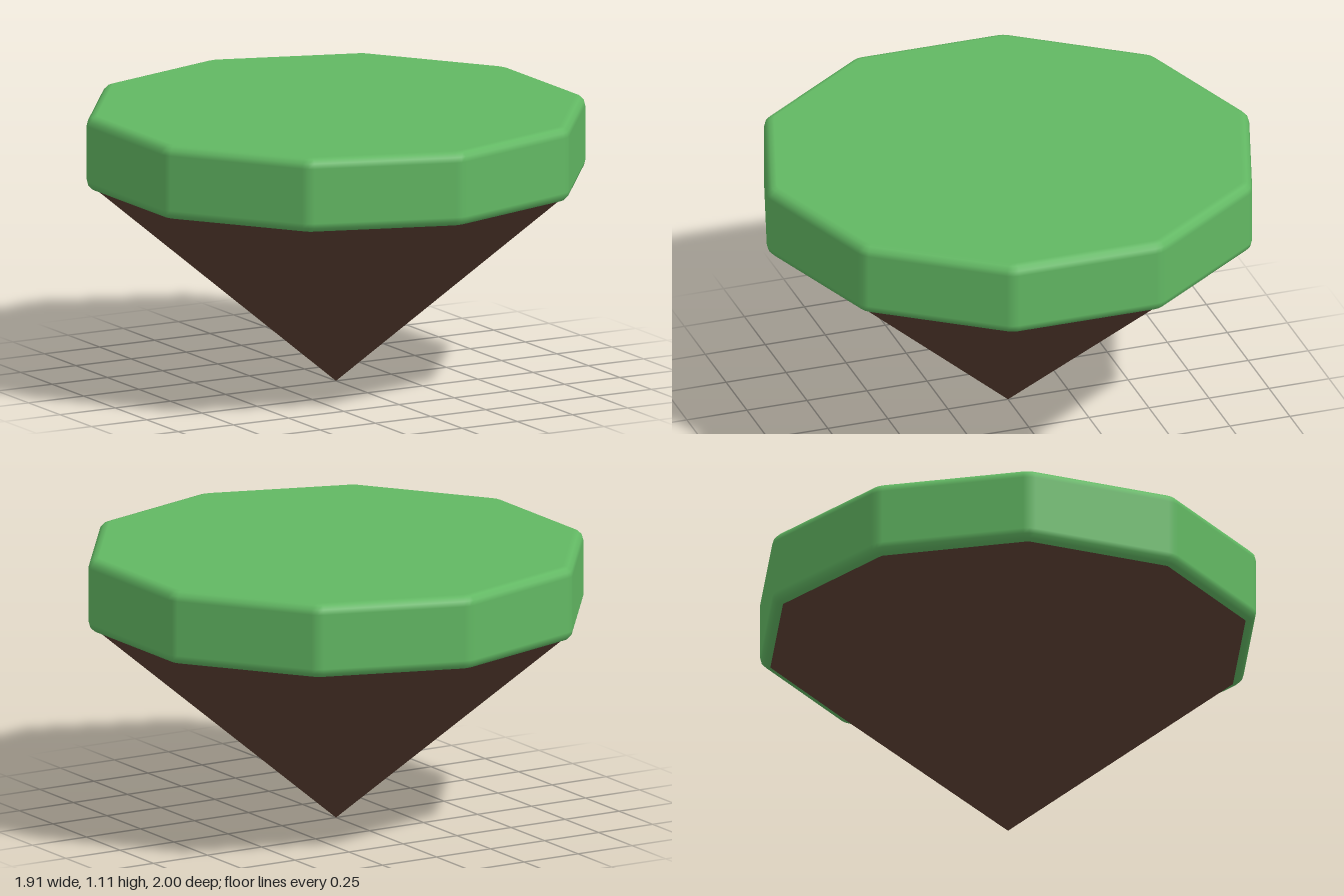
import * as THREE from 'three';

const SIDES = 10;
const STEP = (Math.PI * 2) / SIDES;
const BOTTOM = 0.81, TOP = 1.11;
const APOTHEM = 0.955;   // centre to flat side
const CORNER = 0.08;     // rounding of the upright corners
const BEVEL = 0.04;      // rounding of the top and bottom rims

// Ten-sided slab with softly rounded corners and rims, built from stacked rings
function slabGeometry() {
  const centreRadius = (APOTHEM - CORNER) / Math.cos(STEP / 2);
  const positions = [], normals = [], indices = [];
  const perRing = SIDES * 3;

  function ring(y, elevation, collapse) {
    const out = CORNER - BEVEL + BEVEL * Math.cos(elevation);
    for (let k = 0; k < SIDES; k++) {
      for (const turn of [-0.5, 0, 0.5]) {
        const a = k * STEP, d = (k + turn) * STEP;
        const x = Math.sin(a) * centreRadius + Math.sin(d) * out;
        const z = Math.cos(a) * centreRadius + Math.cos(d) * out;
        positions.push(collapse ? 0 : x, y, collapse ? 0 : z);
        const h = Math.cos(elevation);
        normals.push(Math.sin(d) * h, Math.sin(elevation), Math.cos(d) * h);
      }
    }
  }

  const arc = [0, 1, 2, 3].map((i) => (i / 3) * Math.PI / 2);
  ring(BOTTOM, -Math.PI / 2, true);
  for (const e of [...arc].reverse()) ring(BOTTOM + BEVEL * (1 - Math.sin(e)), -e, false);
  for (const e of arc) ring(TOP - BEVEL * (1 - Math.sin(e)), e, false);
  ring(TOP, Math.PI / 2, true);

  const rings = positions.length / 3 / perRing;
  for (let j = 0; j < rings - 1; j++) {
    for (let i = 0; i < perRing; i++) {
      const n = (i + 1) % perRing;
      const a = j * perRing + i, b = j * perRing + n;
      const c = b + perRing, d = a + perRing;
      if (j > 0) indices.push(a, b, c);
      if (j < rings - 2) indices.push(a, c, d);
      else indices.push(a, b, d);
      if (j === 0) indices.splice(-3, 3, a, c, d);
    }
  }

  const geometry = new THREE.BufferGeometry();
  geometry.setAttribute('position', new THREE.Float32BufferAttribute(positions, 3));
  geometry.setAttribute('normal', new THREE.Float32BufferAttribute(normals, 3));
  geometry.setIndex(indices);
  return geometry;
}

export function createModel() {
  const grass = new THREE.MeshStandardMaterial({ color: 0x62b863 });
  grass.name = 'grass green';
  const earth = new THREE.MeshStandardMaterial({ color: 0x5c4033 });
  earth.name = 'earth brown';

  const island = new THREE.Group();
  island.name = 'floatingIsland';

  // Grassy top slab
  const slab = new THREE.Mesh(slabGeometry(), grass);
  slab.name = 'grassSlab';
  island.add(slab);

  // Earth cone hanging point-down under the slab
  const coneGeometry = new THREE.CylinderGeometry(0.96, 0, BOTTOM, SIDES, 1, true);
  coneGeometry.translate(0, BOTTOM / 2, 0);
  const cone = new THREE.Mesh(coneGeometry, earth);
  cone.name = 'earthCone';
  island.add(cone);

  return island;
}
